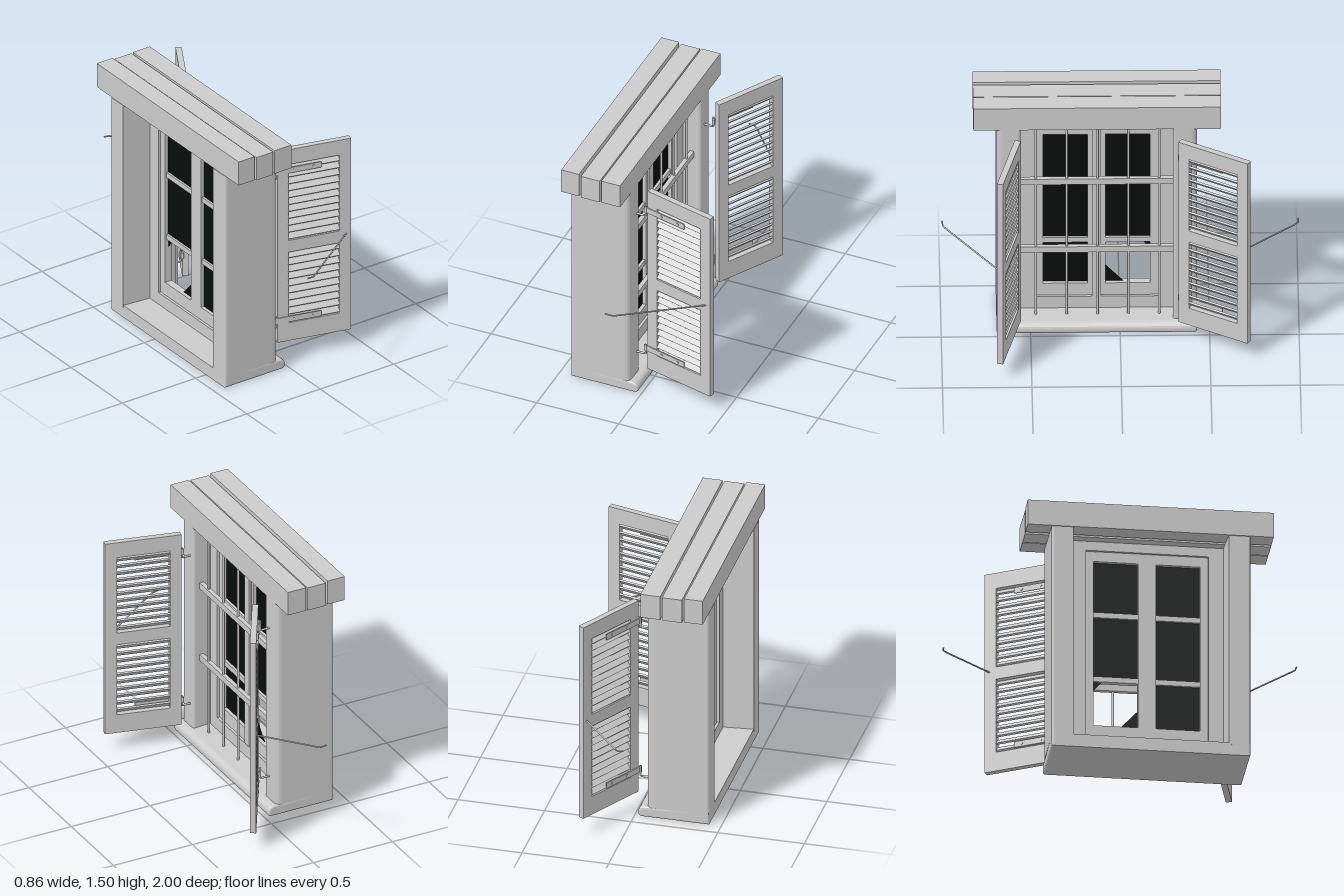
import * as THREE from 'three';

const grey = new THREE.MeshStandardMaterial({ color: 0xcccccc });
const dark = new THREE.MeshStandardMaterial({ color: 0x080d0b, side: THREE.DoubleSide });
const MID = 0.13; // z of the window's centre line

function add(parent, name, geometry, x = 0, y = 0, z = 0, material = grey) {
  const mesh = new THREE.Mesh(geometry, material);
  mesh.name = name;
  mesh.position.set(x, y, z);
  parent.add(mesh);
  return mesh;
}

// Box given by its limits on each axis
function block(parent, name, [x0, x1], [y0, y1], [z0, z1], material) {
  return add(parent, name, new THREE.BoxGeometry(x1 - x0, y1 - y0, z1 - z0),
    (x0 + x1) / 2, (y0 + y1) / 2, (z0 + z1) / 2, material);
}

function rod(parent, name, points, radius) {
  const path = new THREE.CurvePath();
  const v = points.map(p => new THREE.Vector3(...p));
  for (let i = 1; i < v.length; i++) path.add(new THREE.LineCurve3(v[i - 1], v[i]));
  return add(parent, name, new THREE.TubeGeometry(path, (v.length - 1) * 6, radius, 8));
}

// Sill slab: rounded nose at the front, top falling slightly outwards
function sill(parent) {
  const s = new THREE.Shape();
  s.moveTo(-0.418, 0.012);
  s.lineTo(-0.042, 0.012);
  s.quadraticCurveTo(-0.032, 0.012, -0.032, 0.026);
  s.quadraticCurveTo(-0.032, 0.05, -0.06, 0.053);
  s.lineTo(-0.418, 0.064);
  s.closePath();
  const g = new THREE.ExtrudeGeometry(s, {
    depth: 1.096, bevelThickness: 0.012, bevelSize: 0.012, bevelSegments: 3, curveSegments: 6,
  });
  add(parent, 'sill', g, 0, 0, MID - 0.548);
}

// Plastered side wall: plan section with soft outer corners
function sideWall(parent, side) {
  const s = new THREE.Shape();
  const Z = d => -(MID + side * d);
  s.moveTo(-0.43, Z(0.437));
  s.lineTo(-0.25, Z(0.428));
  s.lineTo(-0.09, Z(0.425));
  s.quadraticCurveTo(-0.07, Z(0.425), -0.07, Z(0.445));
  s.lineTo(-0.07, Z(0.52));
  s.quadraticCurveTo(-0.07, Z(0.56), -0.11, Z(0.56));
  s.lineTo(-0.415, Z(0.56));
  s.quadraticCurveTo(-0.43, Z(0.56), -0.43, Z(0.545));
  s.closePath();
  const g = new THREE.ExtrudeGeometry(s, { depth: 1.29, bevelEnabled: false, curveSegments: 6 });
  g.rotateX(-Math.PI / 2);
  add(parent, 'sideWall', g, 0, 0.062, 0);
}

// One glazed casement between z0 and z1
function casement(parent, z0, z1, broken) {
  const sash = new THREE.Group();
  sash.name = 'casement';
  parent.add(sash);
  const X = [-0.24, -0.195], w = 0.05;
  block(sash, 'sashStile', X, [0.14, 1.3], [z0, z0 + w]);
  block(sash, 'sashStile', X, [0.14, 1.3], [z1 - w, z1]);
  const a = z0 + w, b = z1 - w;
  block(sash, 'sashRail', X, [0.14, 0.225], [a, b]);
  block(sash, 'sashRail', X, [1.235, 1.3], [a, b]);
  for (const y of [0.515, 0.91]) block(sash, 'glazingBar', [-0.232, -0.2], [y - 0.016, y + 0.016], [a, b]);
  const rows = [[0.225, 0.5], [0.53, 0.895], [0.925, 1.235]];
  rows.forEach((row, i) => {
    if (!broken || i > 0) return block(sash, 'pane', [-0.22, -0.216], row, [a, b], dark);
    // shards left in opposite corners of the broken pane
    for (const pts of [[[b, 0.225], [b, 0.335], [b - 0.1, 0.225]], [[a, 0.5], [a, 0.445], [a + 0.045, 0.5]]]) {
      const g = new THREE.ShapeGeometry(new THREE.Shape(pts.map(p => new THREE.Vector2(-p[0], p[1]))));
      g.rotateY(Math.PI / 2);
      add(sash, 'glassShard', g, -0.218, 0, 0, dark);
    }
  });
}

// Louvred shutter, local x running from hinge to free edge; side is its outer face on z
function shutter(parent, x, z, angle, side) {
  const g = new THREE.Group();
  g.name = 'shutter';
  g.position.set(x, 0, z);
  g.rotation.y = angle;
  parent.add(g);
  const T = [-0.0175, 0.0175];
  block(g, 'shutterStile', [0, 0.065], [0.11, 1.33], T);
  block(g, 'shutterStile', [0.372, 0.441], [0.11, 1.33], T);
  const rails = [[0.11, 0.225], [0.675, 0.75], [1.235, 1.33]];
  for (const r of rails) block(g, 'shutterRail', [0.065, 0.372], r, T);
  for (const [y0, y1, n] of [[0.225, 0.675, 10], [0.75, 1.235, 11]]) {
    for (let i = 0; i < n; i++) {
      const slat = add(g, 'slat', new THREE.BoxGeometry(0.311, 0.042, 0.011),
        0.2185, y0 + (i + 0.5) * (y1 - y0) / n, 0);
      slat.rotation.x = -side * 0.75;
    }
  }
  // strap hinges with rivets and a knuckle
  for (const y of [0.25, 1.2]) {
    add(g, 'strap', new THREE.BoxGeometry(0.272, 0.035, 0.006), 0.124, y, side * 0.02);
    add(g, 'hingeKnuckle', new THREE.CylinderGeometry(0.009, 0.009, 0.036, 12), -0.014, y, side * 0.018);
    for (const rx of [0.1, 0.215]) {
      add(g, 'rivet', new THREE.CylinderGeometry(0.008, 0.008, 0.004, 10), rx, y, side * 0.024)
        .rotation.x = Math.PI / 2;
    }
  }
}

export function createModel() {
  const model = new THREE.Group();
  model.name = 'shutteredWindow';

  // Masonry surround
  sill(model);
  for (const side of [1, -1]) sideWall(model, side);
  const beams = [[-0.43, -0.322, 1.355, 1.505], [-0.31, -0.195, 1.35, 1.495], [-0.185, -0.07, 1.352, 1.499]];
  for (const [x0, x1, y0, y1] of beams) block(model, 'lintelBeam', [x0, x1], [y0, y1], [-0.565, 0.82]);

  // Fixed window frame
  const F = [-0.255, -0.18], lo = MID - 0.428, hi = MID + 0.428;
  block(model, 'frameJamb', F, [0.065, 1.352], [lo, lo + 0.083]);
  block(model, 'frameJamb', F, [0.065, 1.352], [hi - 0.083, hi]);
  block(model, 'frameSill', F, [0.065, 0.145], [lo + 0.083, hi - 0.083]);
  block(model, 'frameHead', F, [1.295, 1.352], [lo + 0.083, hi - 0.083]);

  // Pair of casements and the cover strip between them
  casement(model, lo + 0.078, MID, true);
  casement(model, MID, hi - 0.078, false);
  block(model, 'coverStrip', [-0.195, -0.182], [0.145, 1.295], [MID - 0.025, MID + 0.025]);

  // Iron grille
  for (let i = 0; i < 5; i++) {
    add(model, 'grilleBar', new THREE.CylinderGeometry(0.007, 0.007, 1.295, 10), -0.125, 0.7075, -0.22 + i * 0.1725);
  }
  for (const y of [0.51, 0.97]) block(model, 'grilleCrossbar', [-0.138, -0.112], [y - 0.019, y + 0.019], [lo, hi]);

  // Open shutters
  shutter(model, 0, 0.572, -0.242, 1);
  shutter(model, 0.013, -0.335, 1.05, -1);

  // Wall pintles and stay rods
  for (const z of [0.59, -0.342]) {
    for (const y of [0.21, 1.16]) {
      rod(model, 'pintle', [[-0.08, y, z], [-0.014, y, z], [-0.014, y + 0.07, z]], 0.006);
    }
  }
  rod(model, 'stayRod', [[0.395, 0.725, 0.685], [-0.045, 0.725, 0.994], [-0.085, 0.73, 0.995]], 0.0045);
  rod(model, 'stayRod', [[0.205, 0.725, -0.7], [-0.045, 0.725, -0.994], [-0.085, 0.73, -0.995]], 0.0045);
  return model;
}
